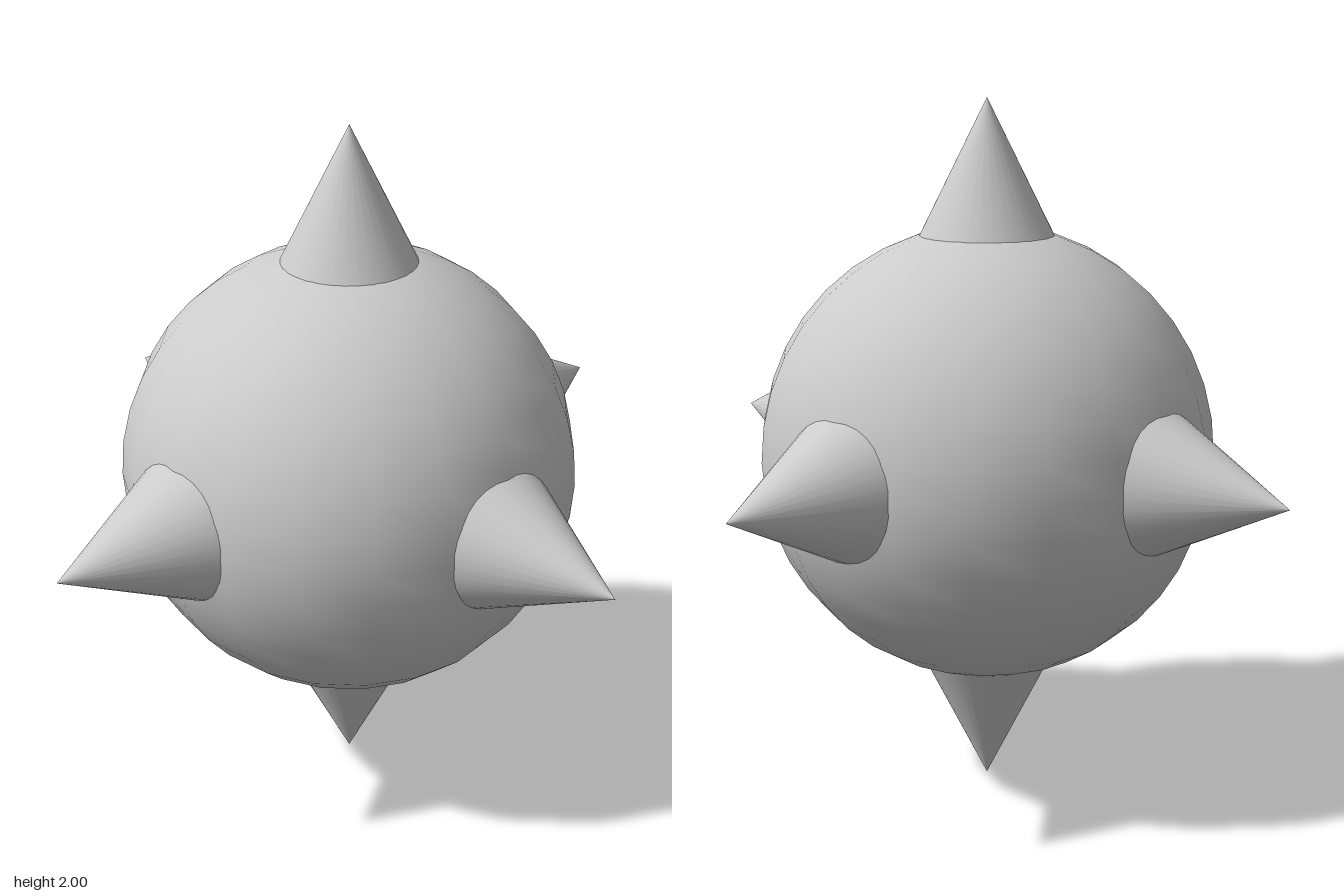
import * as THREE from 'three';

export function createModel() {
  const model = new THREE.Group();
  model.name = 'spikedBall';
  const material = new THREE.MeshStandardMaterial({ color: 0xcccccc });

  // Round core
  const core = new THREE.Mesh(new THREE.SphereGeometry(0.65, 20, 20), material);
  core.name = 'core';
  core.position.y = 1;
  model.add(core);

  // Six cones whose bases are sunk into the core and whose tips lie 1 unit from its centre
  const height = 0.4;
  const spikeGeometry = new THREE.ConeGeometry(0.2, height, 32);
  spikeGeometry.translate(0, 1 - height / 2, 0);

  const up = new THREE.Vector3(0, 1, 0);
  const directions = {
    topSpike: [0, 1, 0],
    bottomSpike: [0, -1, 0],
    leftSpike: [1, 0, 0],
    rightSpike: [-1, 0, 0],
    frontSpike: [0, 0, 1],
    backSpike: [0, 0, -1],
  };
  for (const [name, direction] of Object.entries(directions)) {
    const spike = new THREE.Mesh(spikeGeometry, material);
    spike.name = name;
    spike.position.y = 1;
    spike.quaternion.setFromUnitVectors(up, new THREE.Vector3(...direction));
    model.add(spike);
  }

  return model;
}
